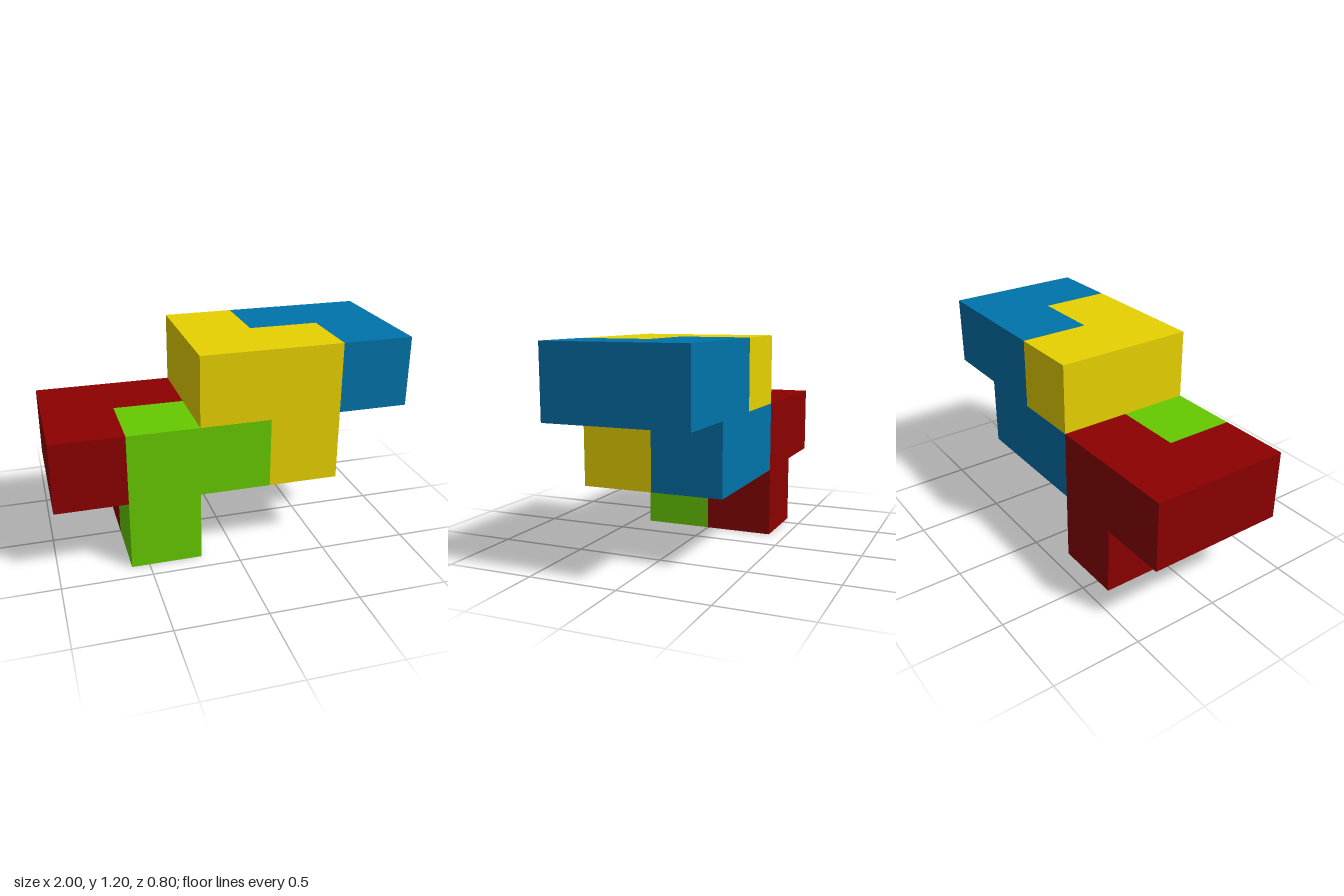
import * as THREE from 'three';
import { mergeGeometries } from 'three/addons/utils/BufferGeometryUtils.js';

const CELL = 0.4;

// Each puzzle piece is a set of cubes: [column (x), level (y), row (z, 0 back / 1 front)]
const PIECES = [
  { name: 'redPiece', color: 0x8c0000, cells: [[0, 1, 1], [0, 1, 0], [1, 1, 0], [1, 0, 0]] },
  { name: 'greenPiece', color: 0x66ca00, cells: [[1, 0, 1], [1, 1, 1], [2, 1, 1]] },
  { name: 'yellowPiece', color: 0xead400, cells: [[3, 1, 1], [3, 2, 1], [2, 2, 1], [2, 2, 0]] },
  { name: 'bluePiece', color: 0x0073aa, cells: [[4, 2, 1], [4, 2, 0], [3, 2, 0], [3, 1, 0], [2, 1, 0]] },
];

const DIRECTIONS = [[1, 0, 0], [-1, 0, 0], [0, 1, 0], [0, -1, 0], [0, 0, 1], [0, 0, -1]];

// One square cube side, turned to face outward
function cubeSide(cell, direction) {
  const normal = new THREE.Vector3(...direction);
  const side = new THREE.PlaneGeometry(CELL, CELL);
  side.applyQuaternion(new THREE.Quaternion().setFromUnitVectors(new THREE.Vector3(0, 0, 1), normal));
  const [x, y, z] = cell;
  const centre = new THREE.Vector3(x - 2, y + 0.5, z - 0.5).addScaledVector(normal, 0.5);
  centre.multiplyScalar(CELL);
  return side.translate(centre.x, centre.y, centre.z);
}

export function createModel() {
  const model = new THREE.Group();
  model.name = 'interlockingBlocks';
  const filled = new Set(PIECES.flatMap((piece) => piece.cells.map(String)));

  for (const { name, color, cells } of PIECES) {
    // Keep only the sides that are not pressed against another cube
    const sides = [];
    for (const cell of cells) {
      for (const direction of DIRECTIONS) {
        const neighbour = cell.map((value, axis) => value + direction[axis]);
        if (!filled.has(String(neighbour))) sides.push(cubeSide(cell, direction));
      }
    }
    const material = new THREE.MeshStandardMaterial({ color });
    material.name = name.replace('Piece', '');
    const mesh = new THREE.Mesh(mergeGeometries(sides), material);
    mesh.name = name;
    model.add(mesh);
  }
  return model;
}
